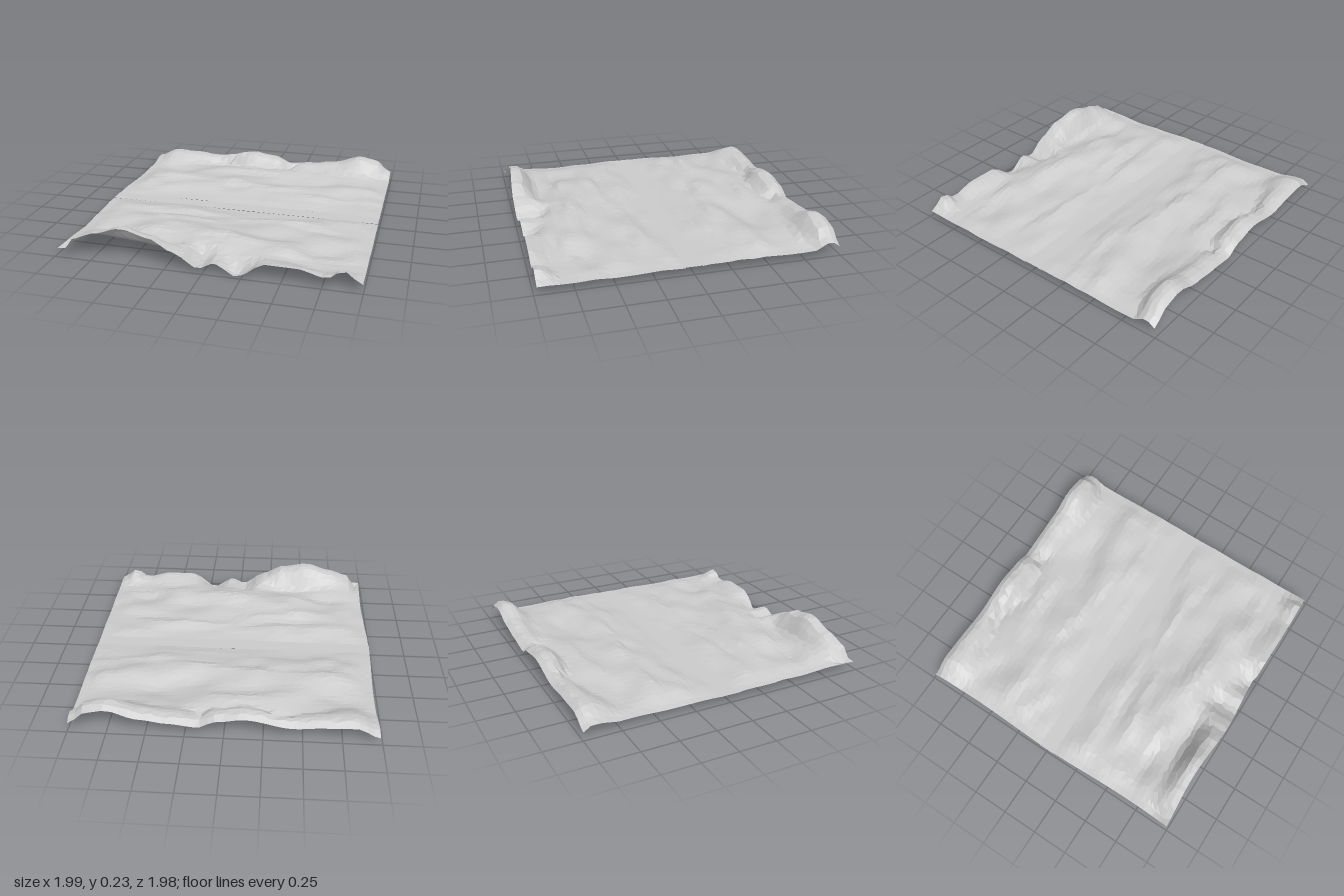
import * as THREE from 'three';

const { smoothstep, lerp, clamp } = THREE.MathUtils;

// Smooth curve through [position, value] pairs
function profile(points) {
  return (t) => {
    const last = points.length - 1;
    if (t <= points[0][0]) return points[0][1];
    if (t >= points[last][0]) return points[last][1];
    const i = points.findIndex((p) => p[0] > t) - 1;
    const [a, b] = [points[i], points[i + 1]];
    return lerp(a[1], b[1], smoothstep(t, a[0], b[0]));
  };
}

// Seeded lattice noise in 0..1
function hash(i, j) {
  const s = Math.sin(i * 127.1 + j * 311.7 + 4.2) * 43758.5453;
  return s - Math.floor(s);
}
function noise(x, z) {
  const i = Math.floor(x), j = Math.floor(z);
  const u = smoothstep(x - i, 0, 1), v = smoothstep(z - j, 0, 1);
  return lerp(
    lerp(hash(i, j), hash(i + 1, j), u),
    lerp(hash(i, j + 1), hash(i + 1, j + 1), u), v);
}

// Height of the front and back hems, and the lines where they begin to rise
const frontEdge = profile([[-1, 0.06], [-0.97, 0.045], [-0.88, 0.14], [-0.75, 0.185], [-0.55, 0.238],
  [-0.35, 0.2], [-0.2, 0.13], [-0.03, 0.035], [0.07, 0.075], [0.21, 0.002], [0.4, 0.11],
  [0.6, 0.11], [0.78, 0.07], [0.88, 0.13], [1, 0.055]]);
const backEdge = profile([[-1, 0.08], [-0.85, 0.145], [-0.65, 0.14], [-0.45, 0.125], [-0.13, 0.18],
  [0.05, 0.155], [0.17, 0.105], [0.35, 0.125], [0.55, 0.15], [0.75, 0.21], [0.87, 0.19], [1, 0.1]]);
const frontStart = profile([[-1, 0.78], [-0.3, 0.78], [-0.1, 0.7], [0.05, 0.73], [0.15, 0.82], [1, 0.82]]);
const backStart = profile([[-1, 0.74], [-0.8, 0.72], [-0.6, 0.79], [-0.37, 0.84], [-0.15, 0.76],
  [0.1, 0.78], [0.16, 0.85], [0.3, 0.76], [0.45, 0.78], [0.62, 0.75], [0.8, 0.76], [1, 0.83]]);
// Highest and lowest points at each depth
const crest = profile([[-1, 0.1], [-0.65, 0.1], [-0.4, 0.125], [-0.25, 0.122], [-0.13, 0.095],
  [-0.055, 0.066], [0.055, 0.06], [0.13, 0.095], [0.2, 0.11], [0.3, 0.092], [0.42, 0.115],
  [0.6, 0.128], [0.8, 0.115], [1, 0.1]]);
const trough = profile([[-1, 0.06], [-0.72, 0.048], [-0.5, 0.045], [-0.2, 0.052], [0.2, 0.052],
  [0.4, 0.047], [0.6, 0.036], [0.8, 0.05], [1, 0.055]]);

// Folds run mostly along x: [x, z, half length, rise]
const folds = [[0.03, -0.37, 0.38, 0.022], [-0.6, -0.38, 0.2, 0.014], [-0.15, -0.64, 0.28, 0.018],
  [-0.3, 0.2, 0.35, 0.014], [0.4, 0.28, 0.4, 0.018], [-0.25, 0.36, 0.25, 0.016],
  [0.05, 0.62, 0.3, 0.018], [-0.55, 0.64, 0.3, 0.016], [0.65, 0.7, 0.3, 0.016], [0.7, -0.27, 0.3, 0.016]];

function height(x, z) {
  const low = trough(z), top = crest(z);
  const n = 0.75 * noise(x * 2.6 + 9, z * 5.5 + x * 0.6 + 3) + 0.25 * noise(x * 6, z * 10);
  const side = 0.3 + 0.7 * smoothstep(1 - Math.abs(x), 0, 0.15);
  let y = low + (top - low) * side * clamp(n * 1.3 - 0.17, 0, 1);
  for (const [fx, fz, half, rise] of folds) {
    const d = z - fz - 0.035 * Math.sin(x * 4 + fx * 9);
    const width = d > 0 ? 0.03 : 0.085;
    y += rise * Math.exp(-((d / width) ** 2) - ((x - fx) / half) ** 4);
  }
  y = Math.min(y, top + 0.006);
  // Front hem: a quick rise or dip that stays level to the border
  const f = frontStart(x);
  y = lerp(y, frontEdge(x), smoothstep(z, f, f + 0.15));
  // Back hem: a roll that curls down slightly at the border
  const b = backStart(x);
  y = lerp(y, backEdge(x), smoothstep(-z, b, Math.max(b + 0.08, 0.9)));
  return y - 0.03 * smoothstep(-z, 0.94, 0.99);
}

const material = new THREE.MeshStandardMaterial({
  color: 0xcccccc, flatShading: true, side: THREE.DoubleSide,
});

// One rumpled half of the sheet between two depths
function rumpledPanel(name, zStart, zEnd) {
  const nx = 42, nz = 24;
  const geometry = new THREE.PlaneGeometry(2, zEnd - zStart, nx, nz);
  geometry.rotateX(-Math.PI / 2);
  geometry.translate(0, 0, (zStart + zEnd) / 2);
  const p = geometry.attributes.position;
  for (let k = 0; k < p.count; k++) {
    const i = k % (nx + 1), j = Math.floor(k / (nx + 1));
    let x = p.getX(k), z = p.getZ(k);
    // Uneven spacing inside, gently waving borders outside
    if (i > 0 && i < nx) x += (hash(i, j + 70) - 0.5) * 0.028;
    if (j > 0 && j < nz) z += (hash(i + 90, j) - 0.5) * 0.02;
    const y = height(x, z);
    const edgeX = x < 0 ? 0.982 + 0.008 * Math.cos(z * 5) : 0.994;
    const wave = 0.012 * Math.cos((x + 0.2) * 7) * smoothstep(z, 0.8, 0.98) * (x < 0.25 ? 1 : 0.2);
    p.setXYZ(k, x * edgeX, y, z + wave);
  }
  geometry.computeVertexNormals();
  const mesh = new THREE.Mesh(geometry, material);
  mesh.name = name;
  return mesh;
}

export function createModel() {
  const group = new THREE.Group();
  group.name = 'rumpledSheet';
  group.add(rumpledPanel('frontPanel', 0.055, 0.98));
  group.add(rumpledPanel('backPanel', -0.99, -0.055));

  // Flat strip across the middle
  const strip = new THREE.Mesh(new THREE.PlaneGeometry(1.985, 0.115), material);
  strip.name = 'middleStrip';
  strip.rotation.x = -Math.PI / 2;
  strip.position.y = 0.056;
  group.add(strip);
  return group;
}
